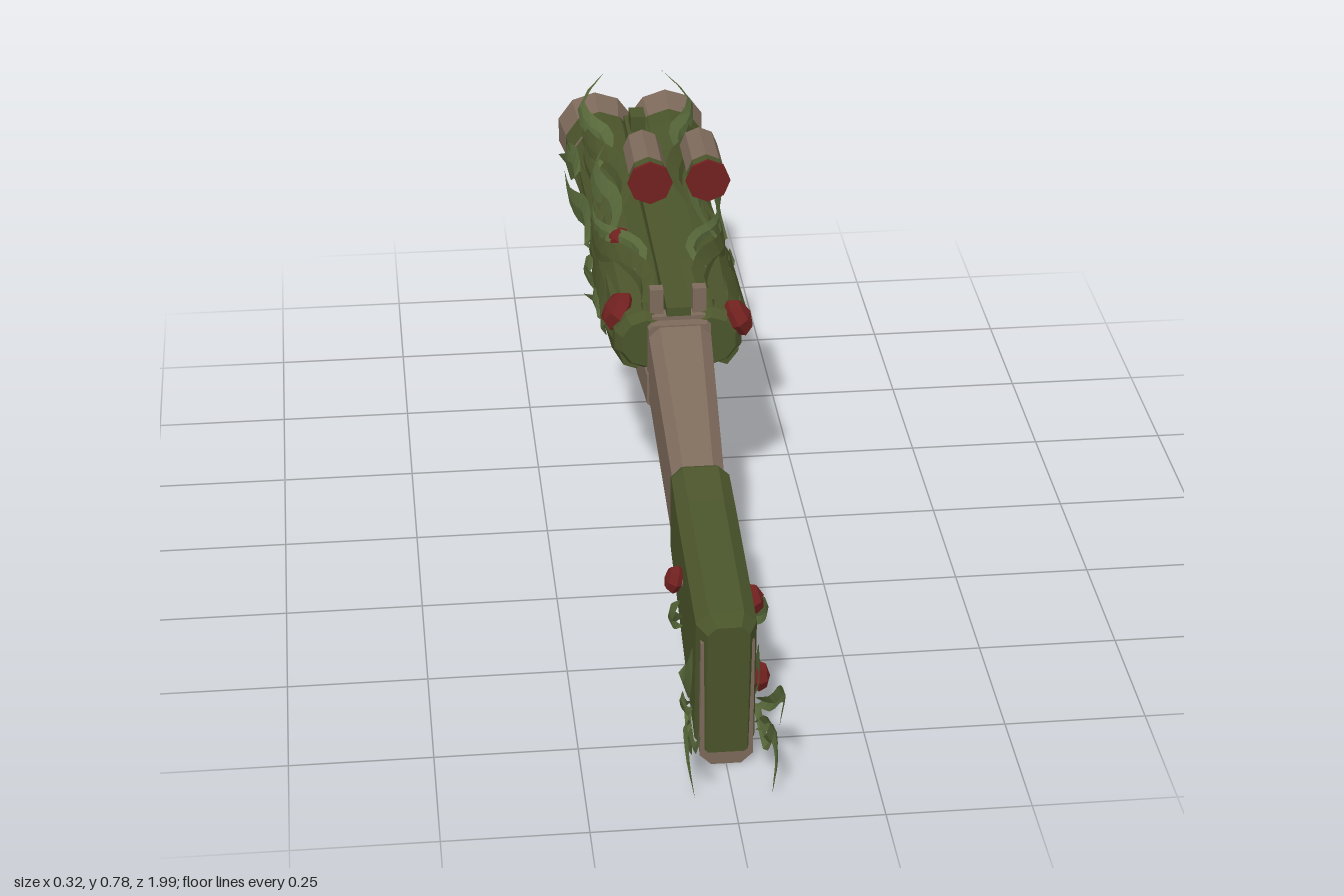
import * as THREE from 'three';

const mat = (name, color) => {
  const m = new THREE.MeshStandardMaterial({ color, flatShading: true, side: THREE.DoubleSide });
  m.name = name;
  return m;
};

// Skin a list of closed sections running from high z to low z, with end caps
function loft(sections) {
  const pos = [];
  const tri = (...p) => p.forEach((v) => pos.push(...v));
  const n = sections[0].length;
  for (let s = 0; s < sections.length - 1; s++) {
    const a = sections[s], b = sections[s + 1];
    for (let i = 0; i < n; i++) {
      const j = (i + 1) % n;
      tri(a[i], b[i], a[j]);
      tri(a[j], b[i], b[j]);
    }
  }
  const f = sections[0], l = sections[sections.length - 1];
  for (let i = 1; i < n - 1; i++) {
    tri(f[0], f[i], f[i + 1]);
    tri(l[0], l[i + 1], l[i]);
  }
  const g = new THREE.BufferGeometry();
  g.setAttribute('position', new THREE.Float32BufferAttribute(pos, 3));
  g.computeVertexNormals();
  return g;
}

// Chamfered rectangle; top and bottom may sit at different z
function oct(zTop, zBot, yB, yT, w, ct = 0.02, cb = ct) {
  const z = (y) => zBot + (zTop - zBot) * (y - yB) / (yT - yB);
  return [[w, yB + cb], [w, yT - ct], [w - ct, yT], [ct - w, yT], [-w, yT - ct], [-w, yB + cb], [cb - w, yB], [w - cb, yB]]
    .map(([x, y]) => [x, y, z(y)]);
}

function ring(x, y, z, rx, ry, n = 10) {
  return Array.from({ length: n }, (_, i) => {
    const a = (i + 0.5) / n * Math.PI * 2;
    return [x + rx * Math.cos(a), y + ry * Math.sin(a), z];
  });
}

// Tapered leaf with a raised ridge along a curve; roundness tilts it around the barrels
function blade(points, width, roundness) {
  const curve = new THREE.CatmullRomCurve3(points);
  const pos = [], idx = [], n = 9;
  for (let i = 0; i <= n; i++) {
    const t = i / n, p = curve.getPoint(t), d = curve.getTangent(t);
    const out = new THREE.Vector3(p.x, (p.y - 0.415) * roundness, 0).normalize();
    const side = new THREE.Vector3().crossVectors(d, out).normalize();
    const w = width * 0.5 * Math.pow(Math.max(0, Math.sin(Math.PI * (0.12 + 0.88 * t))), 0.8);
    for (const [across, rise] of [[w, 0], [0, 0.012 * (1 - t)], [-w, 0]])
      pos.push(...p.clone().addScaledVector(side, across).addScaledVector(out, rise).toArray());
    if (i < n) for (let k = 0; k < 2; k++) {
      const q = i * 3 + k;
      idx.push(q, q + 1, q + 3, q + 1, q + 4, q + 3);
    }
  }
  const g = new THREE.BufferGeometry();
  g.setAttribute('position', new THREE.Float32BufferAttribute(pos, 3));
  g.setIndex(idx);
  g.computeVertexNormals();
  return g;
}

// Leaf winding along the barrels from angle a0 to a1, its tip lifting away
function barrelLeaf(s, z0, length, a0, a1, lift, width) {
  const points = Array.from({ length: 6 }, (_, i) => {
    const t = i / 5, k = 1 + lift * t * t;
    const a = a0 + (a1 - a0) * t + 0.2 * Math.sin(Math.PI * 2 * t);
    return new THREE.Vector3(s * 0.13 * k * Math.cos(a), 0.415 + 0.08 * k * Math.sin(a), z0 - length * t);
  });
  return blade(points, width, 0.6);
}

// Leaf on the stock from [z, y] steps, bowing outward
function stockLeaf(s, path, bow, width) {
  const points = path.map(([z, y], i) =>
    new THREE.Vector3(s * (0.054 + bow * Math.sin(2.5 * i / (path.length - 1))), y, z));
  return blade(points, width, 0);
}

export function createModel() {
  const root = new THREE.Group();
  const wood = mat('weathered wood', 0x7d6a5b);
  const moss = mat('moss green', 0x4b552b);
  const leaf = mat('leaf green', 0x58693a);
  const red = mat('mushroom red', 0x70211f);
  const add = (name, geo, m, x = 0, y = 0, z = 0, parent = root) => {
    const mesh = new THREE.Mesh(geo, m);
    mesh.name = name;
    mesh.position.set(x, y, z);
    parent.add(mesh);
    return mesh;
  };
  const box = (name, w, h, d, m, x, y, z) => add(name, new THREE.BoxGeometry(w, h, d), m, x, y, z);
  const zCyl = (r, d, n = 8) => new THREE.CylinderGeometry(r, r, d, n).rotateX(Math.PI / 2);

  // Stock, wrist and receiver
  add('stock', loft([
    oct(0.835, 0.82, 0.003, 0.275, 0.046), oct(0.5, 0.5, 0.13, 0.31, 0.047),
    oct(0.37, 0.37, 0.17, 0.335, 0.047), oct(0.055, 0.055, 0.29, 0.46, 0.058),
  ]), wood);
  add('mossyStock', loft([
    oct(0.85, 0.825, 0.03, 0.295, 0.036, 0.015, 0.005), oct(0.81, 0.79, 0.035, 0.302, 0.052, 0.022, 0.005),
    oct(0.5, 0.5, 0.15, 0.341, 0.053, 0.022, 0.005), oct(0.405, 0.39, 0.18, 0.356, 0.052, 0.02, 0.005),
    oct(0.37, 0.37, 0.195, 0.338, 0.05, 0.02, 0.005),
  ]), moss);
  add('breech', loft([
    oct(0.057, 0.057, 0.29, 0.462, 0.058, 0.008, 0.015), oct(0.035, 0.035, 0.285, 0.462, 0.06, 0.008, 0.015),
  ]), wood);
  add('receiver', loft([
    oct(0.055, 0.055, 0.288, 0.37, 0.062, 0.012), oct(-0.1, -0.1, 0.27, 0.37, 0.066, 0.012),
    oct(-0.26, -0.26, 0.262, 0.37, 0.068, 0.012),
  ]), wood);
  add('foreEnd', loft([
    oct(-0.255, -0.255, 0.262, 0.36, 0.08, 0.02, 0.03), oct(-0.3, -0.3, 0.262, 0.365, 0.09, 0.02, 0.03),
    oct(-0.71, -0.71, 0.28, 0.36, 0.082, 0.02, 0.03), oct(-0.755, -0.755, 0.295, 0.345, 0.07, 0.015, 0.02),
  ]), moss);

  // Rail and sights
  box('topRail', 0.045, 0.025, 0.89, moss, 0, 0.475, -0.41);
  box('frontSight', 0.03, 0.045, 0.05, moss, 0, 0.498, -0.795);
  box('rearSightBase', 0.1, 0.02, 0.03, wood, 0, 0.46, 0.02);

  // Trigger guard from flat strips, and two triggers
  const guard = [[0.25, 0.235], [0.25, 0.187], [0.185, 0.157], [0.12, 0.157], [0.062, 0.183], [0.062, 0.3]];
  for (let i = 0; i < guard.length - 1; i++) {
    const [z1, y1] = guard[i], [z2, y2] = guard[i + 1];
    const s = box('triggerGuard', 0.036, 0.012, Math.hypot(z2 - z1, y2 - y1) + 0.008, wood, 0, (y1 + y2) / 2, (z1 + z2) / 2);
    s.rotation.x = -Math.atan2(y2 - y1, z2 - z1);
  }
  for (const [z, y] of [[0.195, 0.228], [0.12, 0.243]])
    box('trigger', 0.022, 0.045, 0.035, red, 0, y, z).rotation.x = 0.4;

  // Flared muzzle profile: outer wall, lip, bore
  const muzzle = [[0.069, 0.78], [0.071, 0.87], [0.081, 0.955], [0.079, 0.96], [0.064, 0.96], [0.057, 0.88]]
    .map((p) => new THREE.Vector2(...p));

  // Barrel leaves: start z, length, start angle, end angle, tip lift, width
  const barrelLeaves = [
    [0.02, 0.44, 1.1, 0.5, 0.1, 0.06], [-0.28, 0.4, 0.6, 1.15, 0.35, 0.06],
    [-0.12, 0.34, 1.1, 0.75, 0.25, 0.03], [-0.38, 0.42, 0.5, 1, 0.25, 0.035],
    [-0.62, 0.265, 0.7, 1.35, 1.05, 0.045], [-0.68, 0.315, 0.2, -0.66, 0.46, 0.075],
    [-0.02, 0.48, 0.1, -0.2, 0.05, 0.075], [-0.4, 0.28, 0, 0.34, 0.3, 0.06],
    [-0.28, 0.16, 0, -1.12, 0.95, 0.05], [-0.4, 0.48, 1, 0.95, 0.3, 0.06],
    [-0.1, 0.24, -0.1, -0.7, 0.5, 0.05],
  ];
  // Stock leaves and tendrils: path, outward bow, width
  const stockLeaves = [
    [[[0.66, 0.09], [0.72, 0.11], [0.78, 0.17], [0.8, 0.23]], 0.004, 0.06],
    [[[0.76, 0.08], [0.84, 0.05], [0.9, 0.12], [0.95, 0.125], [0.995, 0.18]], 0.015, 0.03],
    [[[0.78, 0.1], [0.85, 0.14], [0.89, 0.185], [0.93, 0.2], [0.96, 0.165]], 0.03, 0.03],
    [[[0.78, 0.05], [0.84, 0.09], [0.91, 0.07], [0.93, 0.01]], 0.02, 0.03],
    [[[0.62, 0.17], [0.66, 0.2], [0.7, 0.24], [0.73, 0.28]], 0.028, 0.035],
  ];

  for (const s of [1, -1]) {
    const side = s > 0 ? 'left' : 'right';
    // Mossy barrel
    add(side + 'Barrel', loft([
      [0.04, 0.06, 0.048], [0.02, 0.062, 0.06], [-0.2, 0.063, 0.066], [-0.45, 0.062, 0.062],
      [-0.7, 0.066, 0.064], [-0.8, 0.07, 0.074], [-0.87, 0.072, 0.074],
    ].map(([z, x, r]) => ring(s * x, 0.418, z, r, r))), moss);
    add(side + 'Muzzle', new THREE.LatheGeometry(muzzle, 10).rotateX(-Math.PI / 2), wood, s * 0.074, 0.418, 0);
    add(side + 'Bore', zCyl(0.06, 0.008, 10), red, s * 0.074, 0.418, -0.9);
    // Draped moss on the outer flank
    add(side + 'MossDrape', loft([
      [0.03, 0.085, 0.03, 0.05], [-0.06, 0.095, 0.036, 0.062], [-0.25, 0.097, 0.032, 0.05],
      [-0.4, 0.094, 0.036, 0.06], [-0.6, 0.092, 0.032, 0.05], [-0.84, 0.11, 0.036, 0.05],
    ].map(([z, x, rx, ry]) => ring(s * x, 0.41, z, rx, ry, 7))), moss);
    box(side + 'Hammer', 0.025, 0.065, 0.022, wood, s * 0.04, 0.487, 0.012);
    barrelLeaves.forEach((v, i) => add(side + 'BarrelLeaf', barrelLeaf(s, ...v), i % 3 === 0 ? moss : leaf));
    stockLeaves.forEach((v) => add(side + 'StockLeaf', stockLeaf(s, ...v), leaf));

    // Floating cartridge
    const shell = new THREE.Group();
    shell.name = side + 'Cartridge';
    shell.position.set(s * 0.053, 0.745, 0);
    root.add(shell);
    add('case', zCyl(0.035, 0.125), wood, 0, 0, -0.0625, shell);
    add('base', zCyl(0.036, 0.034), moss, 0, 0, 0.017, shell);
    add('rim', zCyl(0.041, 0.008), red, 0, 0, 0.036, shell);
  }

  // Mushrooms: position, cap radius, upward tilt
  const capProfile = [[0, -0.35], [0.75, -0.45], [1, -0.1], [0.75, 0.4], [0, 0.65]];
  [
    [0.115, 0.45, 0.01, 0.038, 0.5], [0.12, 0.41, -0.055, 0.02, 0.2], [0.12, 0.455, -0.555, 0.025, 0.4],
    [0.062, 0.25, 0.685, 0.028, 0.3], [0.068, 0.12, 0.73, 0.028, 0],
    [-0.11, 0.455, -0.03, 0.04, 0.6], [-0.085, 0.475, -0.3, 0.025, 0.8], [-0.068, 0.245, 0.6, 0.026, 0.3],
  ].forEach(([x, y, z, r, tilt]) => {
    const g = new THREE.Group();
    g.name = 'mushroom';
    g.position.set(x, y, z);
    g.rotation.z = -Math.sign(x) * (Math.PI / 2 - tilt);
    root.add(g);
    add('cap', new THREE.LatheGeometry(capProfile.map(([a, b]) => new THREE.Vector2(a * r, b * r)), 7), red, 0, 0, 0, g);
    add('stem', new THREE.CylinderGeometry(r * 0.35, r * 0.4, r * 1.1, 6), wood, 0, -r * 0.85, 0, g);
  });
  return root;
}
